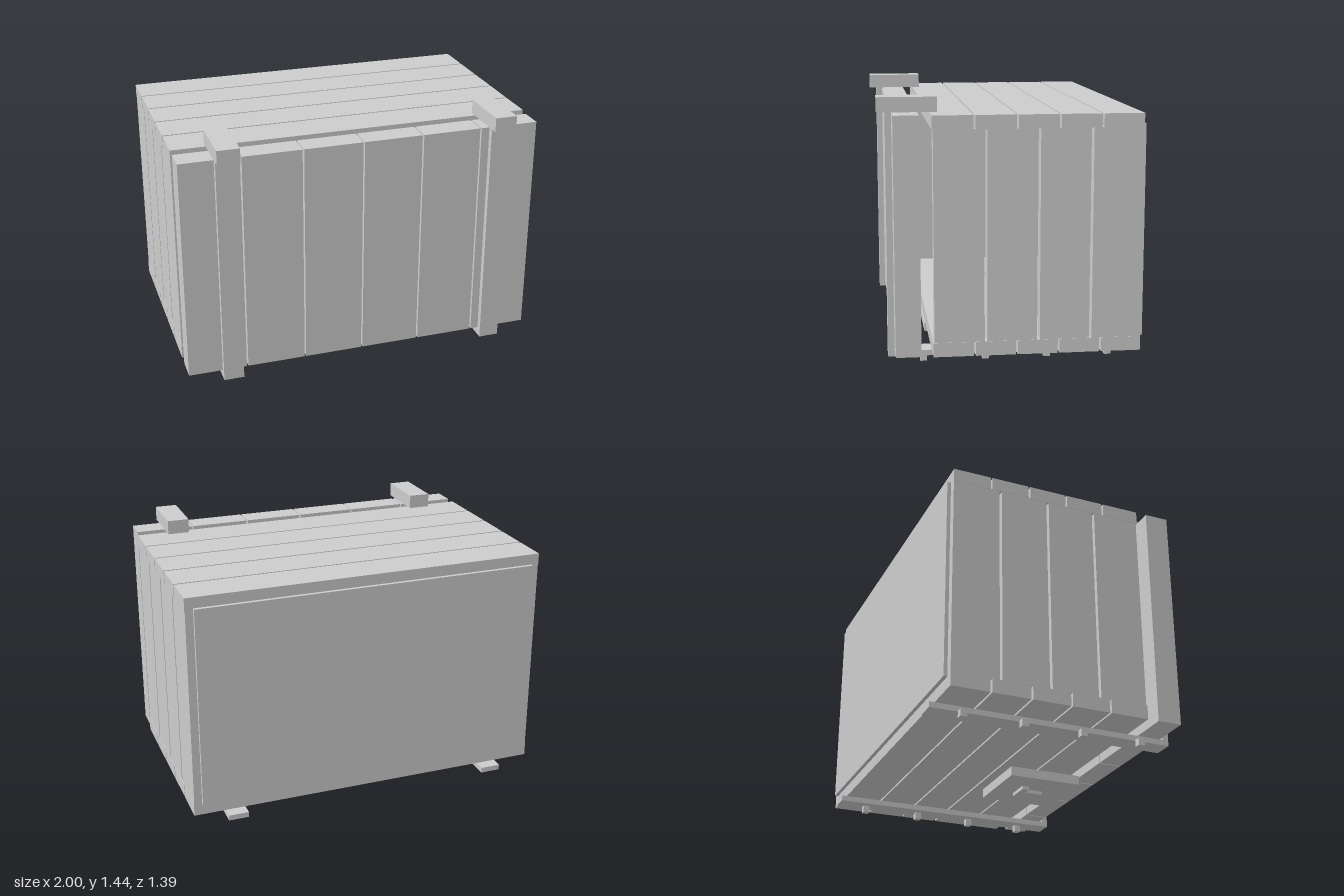
import * as THREE from 'three';

const grey = new THREE.MeshStandardMaterial({ color: 0xcccccc });
grey.name = 'grey wood';

export function createModel() {
  const model = new THREE.Group();
  model.name = 'chest';

  // Box given by its limits along each axis
  const slab = (name, [x0, x1], [y0, y1], [z0, z1], parent = model) => {
    const mesh = new THREE.Mesh(new THREE.BoxGeometry(x1 - x0, y1 - y0, z1 - z0), grey);
    mesh.position.set((x0 + x1) / 2, (y0 + y1) / 2, (z0 + z1) / 2);
    mesh.name = name;
    parent.add(mesh);
  };
  const group = (name) => {
    const g = new THREE.Group();
    g.name = name;
    model.add(g);
    return g;
  };

  // Top and bottom walls: five long planks each
  const top = group('topWall');
  const bottom = group('bottomWall');
  for (let i = 0; i < 5; i++) {
    const z = -0.655 + i * 0.2187;
    slab('topPlank', [-1, 1], [1.29, 1.362], [z, z + 0.209], top);
    slab('bottomPlank', [-1, 1], [0.115, 0.19], [z, z + 0.209], bottom);
  }

  // Side walls: four upright planks each
  for (const s of [-1, 1]) {
    const side = group(s > 0 ? 'leftWall' : 'rightWall');
    const xs = s > 0 ? [0.92, 0.998] : [-0.998, -0.92];
    for (let i = 0; i < 4; i++) {
      const z = -0.655 + i * 0.273;
      slab('sidePlank', xs, [0.19, 1.292], [z, z + 0.259], side);
    }
  }

  // Back panel
  slab('backPanel', [-0.955, 0.955], [0.18, 1.303], [-0.675, -0.655]);

  // Lid: six upright planks standing clear of the box
  const lid = group('lid');
  for (let i = 0; i < 6; i++) {
    const x = -1 + i * 0.3327;
    slab('lidPlank', [x, x + 0.324], [0.115, 1.362], [0.49, 0.622], lid);
  }

  // Straps, end blocks and pegs on each side
  for (const [x, pegX] of [[-0.812, -0.858], [0.708, 0.749]]) {
    const strap = group('strap');
    slab('lidStrap', [x, x + 0.112], [0.07, 1.362], [0.622, 0.655], strap);
    slab('endBlock', [x, x + 0.122], [1.362, 1.44], [0.388, 0.697], strap);
    slab('bottomStrap', [x, x + 0.112], [0.07, 0.1], [-0.695, 0.655], strap);
    for (let i = 0; i < 4; i++) {
      const z = 0.449 - i * 0.332;
      slab('peg', [pegX, pegX + 0.037], [0.03, 0.07], [z, z + 0.036], strap);
    }
  }

  // Lock plate with a raised clasp
  const lock = group('lock');
  slab('lockPlate', [-0.208, 0.206], [0.02, 0.072], [0.01, 0.425], lock);
  slab('claspBar', [-0.07, 0.065], [0, 0.02], [0.137, 0.178], lock);
  slab('claspStem', [-0.022, 0.018], [0, 0.02], [0.178, 0.28], lock);

  return model;
}
